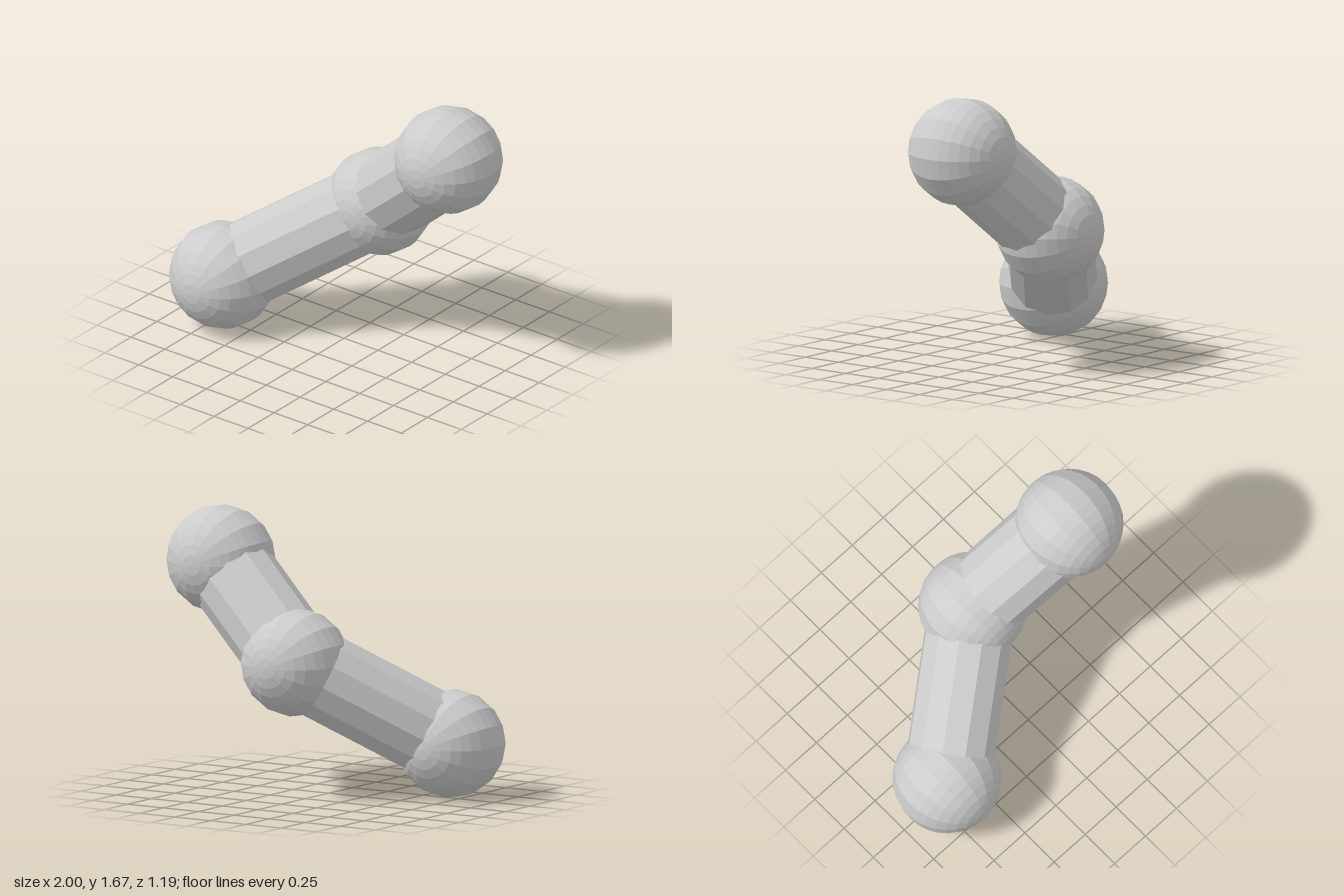
import * as THREE from 'three';

const JOINT_RADIUS = 0.32;
const LIMB_RADIUS = 0.262;

export function createModel() {
  const model = new THREE.Group();
  model.name = 'jointedArm';
  const material = new THREE.MeshStandardMaterial({ color: 0xcccccc, flatShading: true });

  // Joint centres, from the lower end to the upper end
  const joints = {
    lowerJoint: new THREE.Vector3(-0.68, 0.325, 0.275),
    middleJoint: new THREE.Vector3(0.05, 0.815, -0.277),
    upperJoint: new THREE.Vector3(0.68, 1.353, -0.12),
  };

  // Faceted balls with their poles along z
  const ball = new THREE.SphereGeometry(JOINT_RADIUS, 16, 16).rotateX(Math.PI / 2);
  for (const [name, centre] of Object.entries(joints)) {
    const joint = new THREE.Mesh(ball, material);
    joint.name = name;
    joint.position.copy(centre);
    model.add(joint);
  }

  // Twelve-sided limb running from one joint centre to the next
  const addLimb = (name, from, to) => {
    const axis = to.clone().sub(from);
    const limb = new THREE.Mesh(
      new THREE.CylinderGeometry(LIMB_RADIUS, LIMB_RADIUS, axis.length(), 12), material);
    limb.name = name;
    limb.position.copy(from).add(to).multiplyScalar(0.5);
    limb.quaternion.setFromUnitVectors(new THREE.Vector3(0, 1, 0), axis.normalize());
    model.add(limb);
  };
  addLimb('lowerLimb', joints.lowerJoint, joints.middleJoint);
  addLimb('upperLimb', joints.middleJoint, joints.upperJoint);

  return model;
}
